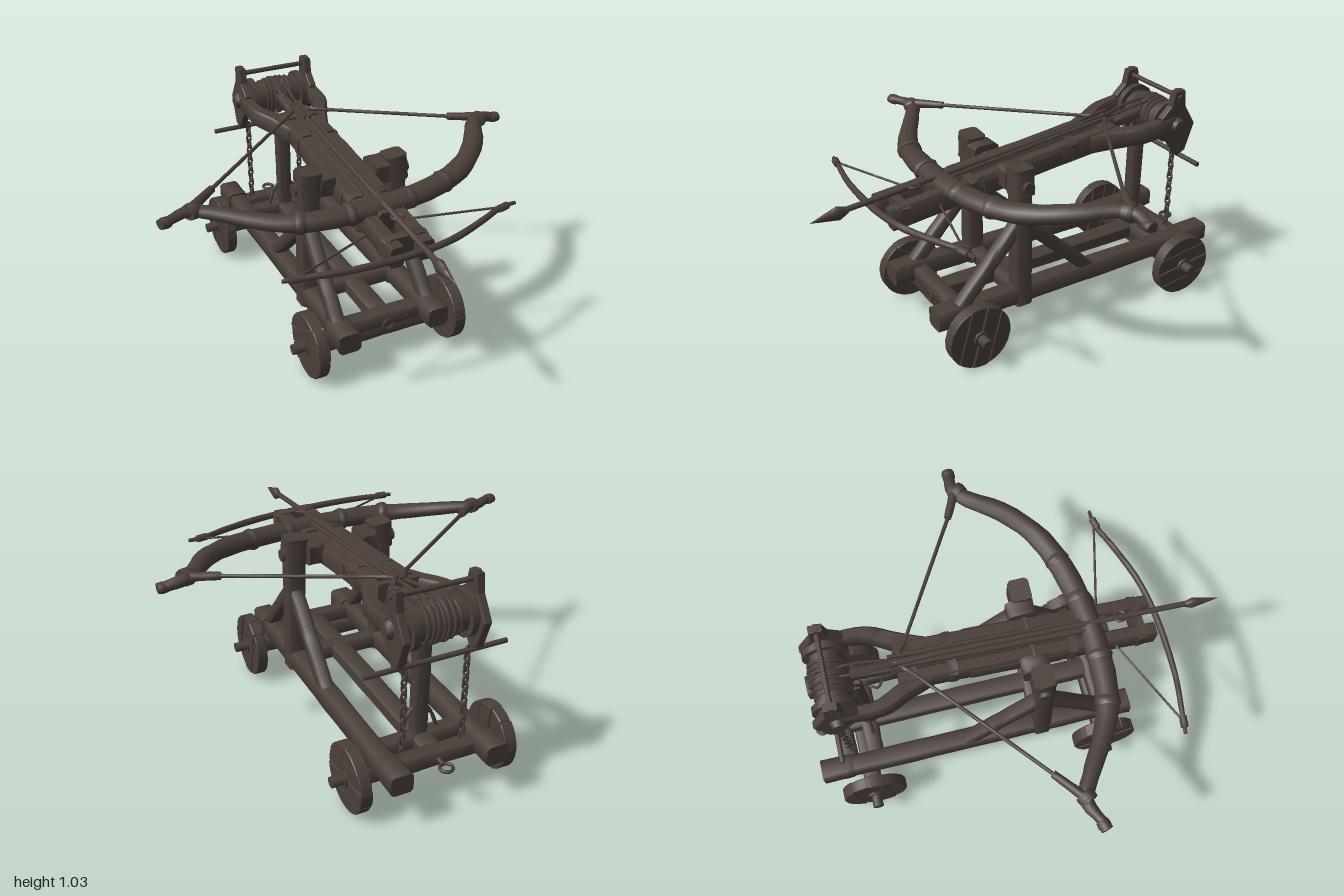
import * as THREE from 'three';
import { toCreasedNormals } from 'three/addons/utils/BufferGeometryUtils.js';

const wood = new THREE.MeshStandardMaterial({ color: 0x4a3f39 });
wood.name = 'dark weathered wood';
let seed = 7;
const rnd = () => ((seed = (seed * 16807) % 2147483647) / 2147483647) * 2 - 1;
const V = (p) => new THREE.Vector3(...p);
const SQUARE = [[1, -.72], [1, .72], [.72, 1], [-.72, 1], [-1, .72], [-1, -.72], [-.72, -1], [.72, -1]];
const ROUND = Array.from({ length: 10 }, (_, i) => [Math.cos(i * Math.PI / 5), Math.sin(i * Math.PI / 5)]);

// Sweeps a slightly uneven section along a curve; sizes are [width, height] spread over its length
function loft(pts, sizes, section = SQUARE, steps = 8, wobble = 0.04) {
  const curve = pts.length === 2 ? new THREE.LineCurve3(V(pts[0]), V(pts[1])) : new THREE.CatmullRomCurve3(pts.map(V));
  const n = section.length, pos = [], idx = [];
  for (let i = 0; i <= steps; i++) {
    const t = i / steps, c = curve.getPoint(t), d = curve.getTangent(t);
    const ref = Math.abs(d.y) > 0.9 ? new THREE.Vector3(0, 0, 1) : new THREE.Vector3(0, 1, 0);
    const side = ref.cross(d).normalize(), up = d.clone().cross(side);
    const f = t * (sizes.length - 1), k = Math.min(Math.floor(f), sizes.length - 1);
    const a = sizes[k], b = sizes[Math.min(k + 1, sizes.length - 1)];
    const w = THREE.MathUtils.lerp(a[0], b[0], f - k) / 2 * (1 + wobble * rnd());
    const h = THREE.MathUtils.lerp(a[1], b[1], f - k) / 2 * (1 + wobble * rnd());
    for (const [u, v] of section) {
      const p = c.clone().addScaledVector(side, u * w).addScaledVector(up, v * h);
      pos.push(p.x, p.y, p.z);
    }
  }
  const last = steps * n, tail = pos.length / 3;
  for (const t of [0, 1]) pos.push(...curve.getPoint(t).toArray());
  for (let j = 0; j < n; j++) {
    const k = (j + 1) % n;
    for (let i = 0; i < last; i += n) idx.push(i + j, i + k, i + n + j, i + k, i + n + k, i + n + j);
    idx.push(tail, k, j, tail + 1, last + j, last + k);
  }
  const g = new THREE.BufferGeometry();
  g.setAttribute('position', new THREE.Float32BufferAttribute(pos, 3));
  g.setIndex(idx);
  return toCreasedNormals(g, 0.85);
}

export function createModel() {
  const model = new THREE.Group();
  model.name = 'siegeCrossbow';
  const add = (name, geo, parent = model) => {
    const m = new THREE.Mesh(geo, wood);
    m.name = name;
    parent.add(m);
    return m;
  };
  const beam = (name, a, b, w, h, steps = 8) => add(name, loft([a, b], [[w, h]], SQUARE, steps));
  const rod = (name, a, b, d, e = d) => add(name, loft([a, b], [[d, d], [e, e]], ROUND, 6));
  const ring = (name, r, tube, p, ry = 0, rx = 0) => {
    const m = add(name, new THREE.TorusGeometry(r, tube, 6, 16));
    m.position.set(...p);
    m.rotation.set(rx, ry, 0);
    return m;
  };

  // Solid wheels made of plank slices over a thinner disc
  const R = 0.156;
  function wheel(x, z, turn) {
    const g = new THREE.Group();
    g.name = 'wheel';
    const cuts = [-R, -0.075, 0.005, 0.08, R];
    for (let i = 0; i < 4; i++) {
      const lo = cuts[i] + 0.002, hi = cuts[i + 1] - 0.002, s = new THREE.Shape(), N = 8;
      for (const dir of [1, -1]) for (let j = 0; j <= N; j++) {
        const y = dir > 0 ? lo + (hi - lo) * j / N : hi - (hi - lo) * j / N;
        const px = dir * Math.sqrt(Math.max(0, R * R - y * y));
        if (dir > 0 && j === 0) s.moveTo(px, y); else s.lineTo(px, y);
      }
      const depth = 0.044 + 0.006 * (i % 2);
      const plank = new THREE.ExtrudeGeometry(s, { depth, bevelThickness: 0.004, bevelSize: 0.003, bevelOffset: -0.003, bevelSegments: 1 });
      add('wheelPlank', plank.translate(0, 0, -depth / 2), g);
    }
    add('wheelCore', new THREE.CylinderGeometry(0.153, 0.153, 0.04, 32).rotateX(Math.PI / 2), g);
    add('wheelHub', new THREE.CylinderGeometry(0.036, 0.04, 0.075, 10).rotateX(Math.PI / 2), g);
    g.rotation.set(0, Math.PI / 2, turn, 'YXZ');
    g.position.set(x, R, z);
    model.add(g);
  }
  for (const z of [0.4, -0.775]) {
    for (const s of [1, -1]) wheel(s * 0.348, z, s * 0.9 + z);
    rod('axle', [-0.44, R, z], [0.44, R, z], 0.05);
    beam('axleBeam', [-0.31, 0.15, z], [0.31, 0.15, z], 0.08, 0.08);
  }

  // Bed frame
  for (const s of [1, -1]) {
    beam('sideRail', [s * 0.225, 0.225, 0.53], [s * 0.225, 0.225, -0.98], 0.09, 0.09, 14);
    beam('railFrontEnd', [s * 0.225, 0.225, 0.42], [s * 0.225, 0.225, 0.555], 0.105, 0.1, 4);
    beam('railBackEnd', [s * 0.225, 0.235, -0.85], [s * 0.225, 0.235, -1.0], 0.1, 0.095, 4);
  }
  beam('middleRail', [0, 0.215, 0.42], [0, 0.215, -0.88], 0.09, 0.075, 12);
  for (const z of [0.42, 0.1, -0.73, -0.86]) beam('crossBeam', [-0.2, 0.215, z], [0.2, 0.215, z], 0.08, 0.075);
  ring('frontRing', 0.025, 0.006, [0.01, 0.2, 0.47]);
  ring('backRing', 0.028, 0.008, [0, 0.22, -0.965], 0, Math.PI / 2);
  rod('backRingPin', [0, 0.22, -0.88], [0, 0.22, -0.94], 0.02);

  // Uprights with diagonal braces and pivot
  for (const s of [1, -1]) {
    beam('upright', [s * 0.23, 0.17, 0.103], [s * 0.22, 0.82, 0.103], 0.088, 0.086, 10);
    beam('uprightCap', [s * 0.225, 0.74, 0.1], [s * 0.215, 0.865, 0.1], 0.105, 0.1, 4);
    beam('frontBrace', [s * 0.225, 0.61, 0.1], [s * 0.23, 0.25, 0.43], 0.065, 0.062);
    beam('backBrace', [s * 0.225, 0.6, 0.1], [s * 0.23, 0.25, -0.27], 0.065, 0.062);
    beam('pivotBlock', [s * 0.1, 0.79, 0.085], [s * 0.175, 0.79, 0.085], 0.13, 0.11, 3);
  }
  rod('pivot', [-0.29, 0.785, 0.095], [0.29, 0.785, 0.095], 0.06);

  // Rear post with bent feet
  beam('rearPost', [0, 0.2, -0.72], [0, 0.76, -0.725], 0.068, 0.062);
  for (const s of [1, -1]) add('rearPostFoot', loft([[s * 0.025, 0.38, -0.72], [s * 0.06, 0.33, -0.72], [s * 0.09, 0.25, -0.72]], [[0.018, 0.018]], ROUND));

  // Sloping stock, split at the rear into a fork
  const line = (z) => 0.7 + (0.67 - z) * 0.107;
  for (const s of [1, -1]) {
    beam('stockBeam', [s * 0.07, line(0.67), 0.67], [s * 0.07, line(-0.52), -0.52], 0.066, 0.1, 14);
    add('forkArm', loft([[s * 0.075, 0.81, -0.38], [s * 0.12, 0.825, -0.5], [s * 0.175, 0.84, -0.62], [s * 0.18, 0.86, -0.8]],
      [[0.07, 0.09], [0.07, 0.085], [0.05, 0.08]], SQUARE, 12));
    beam('stockCheek', [s * 0.1, line(0.22), 0.22], [s * 0.1, line(-0.2), -0.2], 0.02, 0.07);
  }
  beam('stockCentre', [0, line(0.45) + 0.01, 0.45], [0, line(-0.55) + 0.012, -0.55], 0.085, 0.105, 12);
  beam('stockTongue', [0, 0.835, -0.5], [0, 0.87, -0.72], 0.05, 0.045);
  for (const z of [0.6, 0.27, -0.28, -0.46]) beam('stockLashing', [0, line(z + 0.02), z + 0.02], [0, line(z - 0.02), z - 0.02], 0.215, 0.115, 2);
  for (const s of [1, -1]) beam('arrowGuide', [s * 0.026, line(0.4) + 0.062, 0.4], [s * 0.026, line(-0.5) + 0.066, -0.5], 0.016, 0.022);

  // Main bow, bent unevenly, with bound tips
  add('mainBow', loft([[-0.88, 0.825, 0.18], [-0.78, 0.825, 0.14], [-0.66, 0.81, 0.2], [-0.5, 0.785, 0.3], [-0.35, 0.775, 0.36], [-0.1, 0.775, 0.38],
    [0.1, 0.775, 0.37], [0.33, 0.785, 0.325], [0.5, 0.805, 0.25], [0.64, 0.835, 0.12], [0.74, 0.855, -0.03], [0.8, 0.855, -0.08], [0.89, 0.84, -0.08]],
  [[0.045, 0.04], [0.07, 0.055], [0.095, 0.075], [0.115, 0.09], [0.115, 0.09], [0.115, 0.09], [0.095, 0.08], [0.075, 0.06], [0.045, 0.045]], ROUND, 40, 0.05));
  const bands = [[-0.77, 0.825, 0.145, -0.5, 0.09], [-0.9, 0.822, 0.185, -0.3, 0.06], [-0.37, 0.778, 0.355, 0.25, 0.125], [-0.15, 0.775, 0.38, 0, 0.125],
    [0.15, 0.777, 0.362, -0.12, 0.125], [0.35, 0.787, 0.318, -0.3, 0.12], [0.78, 0.857, -0.06, -0.7, 0.095], [0.89, 0.84, -0.08, 0, 0.062]];
  for (const [x, y, z, slope, d] of bands) {
    const l = 0.022 / Math.hypot(1, slope);
    add('bowBinding', loft([[x - l, y, z - l * slope], [x + l, y, z + l * slope]], [[d * 0.9, d * 0.75], [d, d * 0.85], [d * 0.9, d * 0.75]], ROUND, 4));
  }

  // Main string with thick served ends
  const strings = [[[-0.76, 0.835, 0.13], [-0.64, 0.845, 0.03], [-0.08, 0.885, -0.44]], [[0.77, 0.865, -0.08], [0.65, 0.868, -0.135], [0.08, 0.888, -0.46]]];
  for (const [a, b, c] of strings) {
    rod('stringEnd', a, b, 0.045, 0.035);
    rod('bowString', b, c, 0.018, 0.016);
    rod('stringRelease', c, [0, 0.895, -0.52], 0.02);
  }

  // Small front bow
  add('smallBow', loft([[-0.58, 0.728, 0.66], [-0.48, 0.727, 0.675], [-0.3, 0.722, 0.7], [0, 0.718, 0.7], [0.2, 0.72, 0.67], [0.4, 0.728, 0.6], [0.52, 0.732, 0.55], [0.595, 0.733, 0.545]],
    [[0.016, 0.018], [0.026, 0.03], [0.03, 0.034], [0.03, 0.034], [0.026, 0.03], [0.016, 0.018]], ROUND, 24));
  rod('smallBowBinding', [-0.55, 0.728, 0.665], [-0.5, 0.728, 0.672], 0.035);
  rod('smallBowBinding', [0.5, 0.731, 0.56], [0.55, 0.732, 0.548], 0.035);
  rod('smallBowString', [-0.52, 0.728, 0.665], [-0.06, 0.72, 0.46], 0.011);
  rod('smallBowString', [0.53, 0.73, 0.55], [0.06, 0.72, 0.43], 0.011);

  // Arrow
  rod('arrowShaft', [0.005, 0.762, 0.87], [0, 0.895, -0.54], 0.026, 0.024);
  add('arrowHead', loft([[0.005, 0.762, 0.83], [0.005, 0.745, 1.0]], [[0.022, 0.03], [0.044, 0.066], [0.03, 0.045], [0.016, 0.024], [0.002, 0.002]], ROUND, 8, 0));
  for (const s of [1, -1]) beam('fletching', [s * 0.014, 0.885, -0.38], [s * 0.02, 0.905, -0.54], 0.012, 0.03, 3);
  ring('arrowRing', 0.025, 0.007, [0.008, 0.795, 0.52], 0, Math.PI / 2);

  // Winch: cheek plates, drum, rope, handle bars
  const cheek = new THREE.Shape([[0.72, 0.9], [0.775, 0.95], [0.79, 1.02], [0.84, 1.02], [0.85, 0.94], [0.915, 0.84], [0.87, 0.71], [0.83, 0.69], [0.78, 0.76], [0.73, 0.82]]
    .map(([z, y]) => new THREE.Vector2(z, y)));
  const cheekGeo = new THREE.ExtrudeGeometry(cheek, { depth: 0.028, bevelThickness: 0.005, bevelSize: 0.006, bevelSegments: 2 }).translate(0, 0, -0.014).rotateY(Math.PI / 2);
  for (const s of [1, -1]) {
    add('winchCheek', cheekGeo).position.x = s * 0.18;
    rod('drumBoss', [s * 0.19, 0.85, -0.81], [s * 0.225, 0.85, -0.81], 0.09, 0.06);
    add('winchFlange', new THREE.CylinderGeometry(0.105, 0.105, 0.03, 16).rotateZ(Math.PI / 2)).position.set(s * 0.13, 0.85, -0.81);
    rod('cheekTip', [s * 0.18, 0.97, -0.815], [s * 0.18, 1.03, -0.815], 0.045, 0.035);
  }
  rod('winchDrum', [-0.17, 0.85, -0.81], [0.17, 0.85, -0.81], 0.16);
  rod('topBar', [-0.2, 0.995, -0.815], [0.21, 0.995, -0.815], 0.024);
  rod('lowerBar', [-0.33, 0.685, -0.845], [0.33, 0.685, -0.845], 0.024);
  for (let i = 0; i < 12; i++) ring('ropeTurn', 0.086 + 0.008 * rnd(), 0.008, [-0.07 + i * 0.0125, 0.85, -0.81], Math.PI / 2 + 0.2 * rnd(), 0);
  for (const s of [1, -1]) {
    add('pullRope', loft([[s * 0.02, 0.93, -0.78], [s * 0.025, 0.92, -0.68], [s * 0.01, 0.885, -0.5]], [[0.014, 0.014]], ROUND));
    add('looseRope', loft([[s * 0.03, 0.84, -0.58], [s * 0.05, 0.76, -0.62], [s * 0.02, 0.73, -0.66], [s * 0.03, 0.8, -0.72]], [[0.012, 0.012]], ROUND, 12));
  }

  // Hanging chains of alternating links
  const link = new THREE.TorusGeometry(0.013, 0.0055, 5, 10).scale(1, 1.75, 1);
  for (const s of [1, -1]) for (let i = 0; i < 13; i++) {
    const m = add('chainLink', link);
    m.position.set(s * 0.145, 0.265 + i * 0.0345, -0.842);
    m.rotation.y = (i % 2) * Math.PI / 2 + 0.25;
  }
  return model;
}
